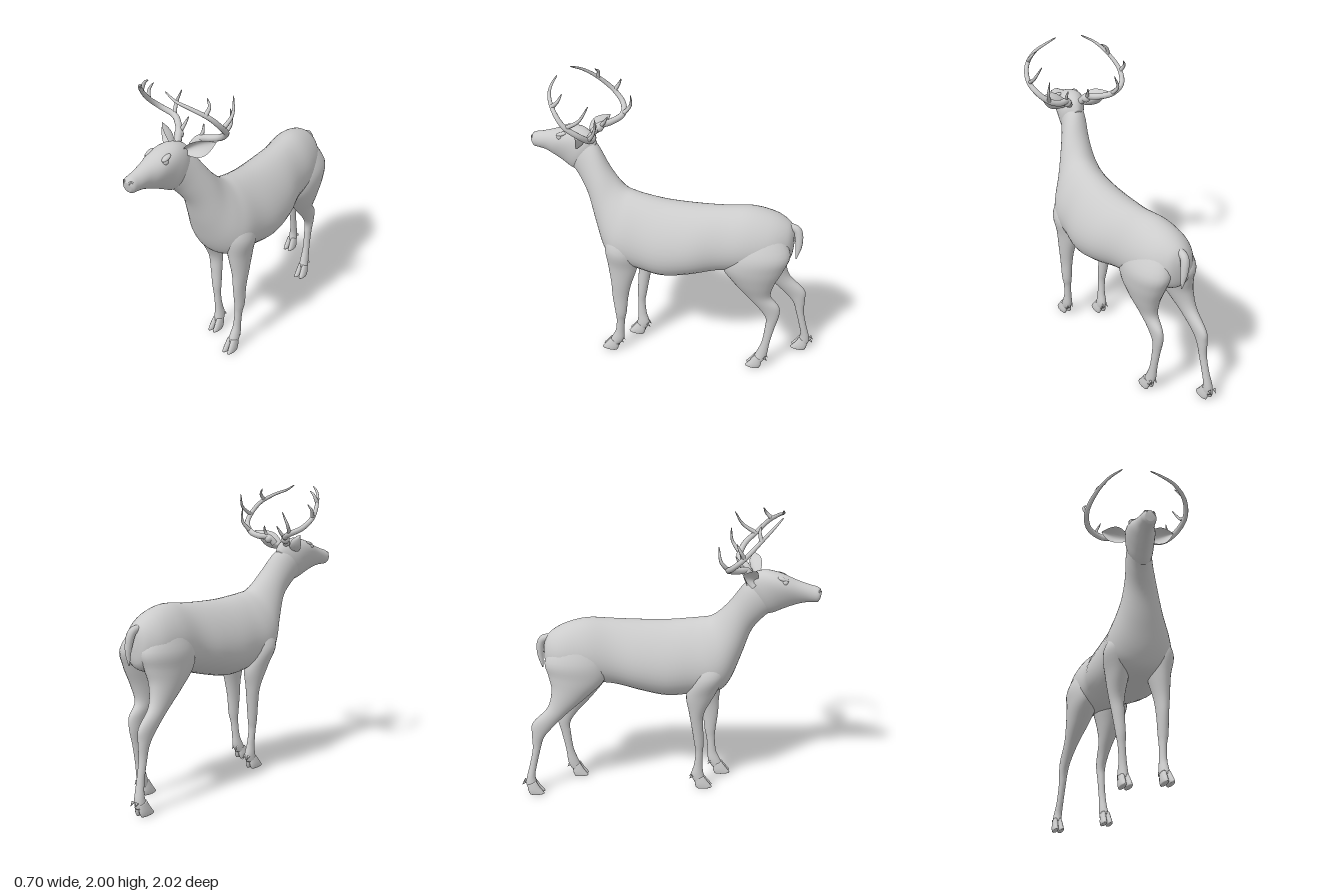
import * as THREE from 'three';

const material = new THREE.MeshStandardMaterial({ color: 0xcccccc, roughness: 0.8 });
const thinMaterial = new THREE.MeshStandardMaterial({ color: 0xcccccc, roughness: 0.8, side: THREE.DoubleSide });

function addMesh(parent, name, geometry, mat = material) {
  const mesh = new THREE.Mesh(geometry, mat);
  mesh.name = name;
  parent.add(mesh);
  return mesh;
}

const spline = (a, b, c, d, t) =>
  0.5 * (2 * b + (c - a) * t + (2 * a - 5 * b + 4 * c - d) * t * t + (3 * b - a - 3 * c + d) * t * t * t);

// Smooth skin over oval sections. Row: [z1, y1, z2, y2, centreX, halfWidth, bias],
// point 1 is the top (or front) of the oval, point 2 the bottom (or back).
// A positive bias moves the widest place towards point 2.
function loft(rows, sides = 28, steps = 5) {
  const rings = [];
  const row = (i) => rows[Math.min(Math.max(i, 0), rows.length - 1)];
  for (let i = 0; i < rows.length - 1; i++)
    for (let s = 0; s < steps; s++)
      rings.push([0, 1, 2, 3, 4, 5, 6].map((k) =>
        spline(...[-1, 0, 1, 2].map((o) => row(i + o)[k] ?? 0), s / steps)));
  rings.push(row(rows.length));
  const pos = [], index = [];
  for (const [z1, y1, z2, y2, cx, hw, bias = 0] of rings)
    for (let j = 0; j < sides; j++) {
      const a = (j / sides) * Math.PI * 2, c = Math.cos(a);
      pos.push(cx + hw * Math.sin(a) * (1 - bias * c),
        (y1 + y2) / 2 + (c * (y1 - y2)) / 2, (z1 + z2) / 2 + (c * (z1 - z2)) / 2);
    }
  for (let i = 0; i < rings.length - 1; i++)
    for (let j = 0; j < sides; j++) {
      const a = i * sides + j, b = i * sides + (j + 1) % sides;
      index.push(a, a + sides, b, b, a + sides, b + sides);
    }
  // End caps
  const last = (rings.length - 1) * sides, n = rings.length * sides;
  for (const [z1, y1, z2, y2, cx] of [rings[0], rings[rings.length - 1]])
    pos.push(cx, (y1 + y2) / 2, (z1 + z2) / 2);
  for (let j = 0; j < sides; j++) {
    const k = (j + 1) % sides;
    index.push(n, j, k, n + 1, last + k, last + j);
  }
  const g = new THREE.BufferGeometry();
  g.setAttribute('position', new THREE.Float32BufferAttribute(pos, 3));
  g.setIndex(index);
  g.computeVertexNormals();
  return g;
}

// Tube whose radius follows a rule
function taperedTube(points, radius, segments = 28, sides = 10) {
  const curve = new THREE.CatmullRomCurve3(points.map((p) => new THREE.Vector3(...p)));
  const g = new THREE.TubeGeometry(curve, segments, 1, sides);
  const p = g.attributes.position, v = new THREE.Vector3();
  for (let i = 0; i < p.count; i++) {
    const t = Math.floor(i / (sides + 1)) / segments, c = curve.getPointAt(t);
    v.fromBufferAttribute(p, i).sub(c).multiplyScalar(radius(t)).add(c);
    p.setXYZ(i, v.x, v.y, v.z);
  }
  return g;
}

const BODY = [
  [-0.835, 1.09, -0.84, 1.0, 0.03, 0.03], [-0.8, 1.15, -0.82, 0.88, 0.035, 0.1],
  [-0.7, 1.21, -0.72, 0.83, 0.045, 0.165, 0.1], [-0.55, 1.245, -0.55, 0.8, 0.065, 0.19, 0.15],
  [-0.38, 1.235, -0.36, 0.775, 0.085, 0.19, 0.18], [-0.2, 1.225, -0.18, 0.73, 0.095, 0.222, 0.22],
  [0, 1.225, 0, 0.695, 0.097, 0.232, 0.24], [0.15, 1.24, 0.18, 0.71, 0.09, 0.215, 0.24],
  [0.22, 1.25, 0.35, 0.735, 0.082, 0.21, 0.24], [0.29, 1.265, 0.43, 0.82, 0.07, 0.185, 0.2],
  [0.35, 1.31, 0.5, 1.0, 0.052, 0.14, 0.12], [0.42, 1.39, 0.56, 1.18, 0.03, 0.108],
  [0.5, 1.51, 0.63, 1.285, -0.005, 0.09], [0.57, 1.57, 0.68, 1.335, -0.025, 0.08],
];

const HEAD = [
  [0.51, 1.53, 0.6, 1.33, -0.015, 0.05], [0.55, 1.59, 0.68, 1.325, -0.025, 0.085, -0.05],
  [0.63, 1.62, 0.76, 1.362, -0.042, 0.093, -0.2], [0.73, 1.605, 0.83, 1.392, -0.055, 0.083, -0.25],
  [0.83, 1.565, 0.89, 1.412, -0.068, 0.06, -0.15], [0.92, 1.535, 0.945, 1.418, -0.078, 0.05],
  [0.975, 1.52, 0.972, 1.42, -0.082, 0.046], [0.997, 1.495, 0.985, 1.435, -0.083, 0.03],
];

const LEGS = {
  leftForeleg: [
    [0.36, 1.04, 0.2, 1.04, 0.19, 0.06], [0.4, 0.9, 0.17, 0.88, 0.213, 0.098],
    [0.385, 0.75, 0.18, 0.75, 0.215, 0.073], [0.365, 0.6, 0.225, 0.6, 0.225, 0.05],
    [0.36, 0.48, 0.25, 0.48, 0.225, 0.038], [0.345, 0.35, 0.265, 0.35, 0.225, 0.033],
    [0.34, 0.28, 0.28, 0.28, 0.22, 0.025], [0.35, 0.18, 0.29, 0.18, 0.215, 0.025],
    [0.375, 0.12, 0.295, 0.1, 0.212, 0.032], [0.4, 0.07, 0.325, 0.05, 0.21, 0.034]],
  rightForeleg: [
    [0.36, 1.04, 0.2, 1.04, -0.015, 0.06], [0.39, 0.9, 0.17, 0.88, -0.055, 0.098],
    [0.33, 0.75, 0.13, 0.73, -0.05, 0.073], [0.255, 0.6, 0.15, 0.6, -0.045, 0.05],
    [0.25, 0.48, 0.17, 0.48, -0.035, 0.04], [0.255, 0.36, 0.19, 0.35, -0.025, 0.032],
    [0.25, 0.28, 0.2, 0.28, -0.02, 0.025], [0.25, 0.18, 0.19, 0.18, -0.013, 0.025],
    [0.255, 0.12, 0.17, 0.1, -0.01, 0.032], [0.265, 0.07, 0.19, 0.05, -0.01, 0.034]],
  leftHindLeg: [
    [-0.47, 1.14, -0.74, 1.14, 0.1, 0.07], [-0.41, 0.98, -0.83, 0.98, 0.14, 0.122],
    [-0.38, 0.85, -0.8, 0.86, 0.155, 0.115], [-0.46, 0.73, -0.745, 0.73, 0.155, 0.085],
    [-0.56, 0.61, -0.725, 0.62, 0.145, 0.052], [-0.65, 0.51, -0.785, 0.54, 0.14, 0.037],
    [-0.7, 0.43, -0.79, 0.46, 0.135, 0.031], [-0.7, 0.35, -0.765, 0.35, 0.135, 0.025],
    [-0.685, 0.22, -0.74, 0.22, 0.138, 0.024], [-0.655, 0.13, -0.725, 0.1, 0.14, 0.03],
    [-0.635, 0.08, -0.7, 0.05, 0.145, 0.034]],
  rightHindLeg: [
    [-0.47, 1.14, -0.74, 1.14, -0.01, 0.07], [-0.41, 0.98, -0.83, 0.98, -0.035, 0.115],
    [-0.42, 0.85, -0.81, 0.87, -0.047, 0.105], [-0.55, 0.72, -0.79, 0.77, -0.065, 0.08],
    [-0.69, 0.6, -0.82, 0.645, -0.085, 0.05], [-0.8, 0.49, -0.925, 0.535, -0.1, 0.036],
    [-0.855, 0.42, -0.935, 0.45, -0.105, 0.031], [-0.88, 0.34, -0.935, 0.34, -0.108, 0.025],
    [-0.91, 0.22, -0.96, 0.22, -0.115, 0.024], [-0.925, 0.14, -0.99, 0.1, -0.125, 0.03],
    [-0.915, 0.08, -0.985, 0.05, -0.13, 0.034]],
};

// Each antler: the main beam first, then its tines
const ANTLERS = {
  leftAntler: [
    [[0.04, 1.58, 0.54], [0.07, 1.625, 0.51], [0.14, 1.635, 0.48], [0.21, 1.66, 0.48], [0.28, 1.72, 0.52],
      [0.31, 1.79, 0.6], [0.28, 1.87, 0.67], [0.19, 1.93, 0.73], [0.1, 1.96, 0.75], [0.02, 1.995, 0.74]],
    [[0.07, 1.625, 0.51], [0.085, 1.66, 0.49], [0.08, 1.71, 0.47]],
    [[0.22, 1.665, 0.48], [0.25, 1.74, 0.43], [0.24, 1.83, 0.42]],
    [[0.305, 1.78, 0.59], [0.31, 1.84, 0.5], [0.28, 1.93, 0.445]],
    [[0.26, 1.89, 0.69], [0.26, 1.93, 0.65], [0.23, 1.97, 0.63]]],
  rightAntler: [
    [[-0.06, 1.58, 0.55], [-0.08, 1.625, 0.51], [-0.13, 1.635, 0.45], [-0.21, 1.66, 0.39], [-0.3, 1.7, 0.41],
      [-0.335, 1.77, 0.48], [-0.3, 1.87, 0.58], [-0.24, 1.94, 0.66], [-0.165, 1.985, 0.72]],
    [[-0.08, 1.625, 0.5], [-0.07, 1.66, 0.47], [-0.055, 1.71, 0.44]],
    [[-0.21, 1.66, 0.39], [-0.23, 1.72, 0.34], [-0.195, 1.81, 0.325]],
    [[-0.335, 1.77, 0.48], [-0.35, 1.82, 0.45], [-0.33, 1.86, 0.43]],
    [[-0.3, 1.87, 0.58], [-0.28, 1.92, 0.57], [-0.24, 1.95, 0.58]]],
};

// Cupped leaf from root to tip, open to the front
function ear(root, tip, facing) {
  const g = new THREE.PlaneGeometry(1, 1, 10, 14), p = g.attributes.position;
  const base = new THREE.Vector3(...root), dir = new THREE.Vector3(...tip).sub(base);
  const side = dir.clone().cross(new THREE.Vector3(...facing)).normalize();
  const front = side.clone().cross(dir).normalize();
  for (let i = 0; i < p.count; i++) {
    const u = p.getX(i), t = p.getY(i) + 0.5, w = 0.11 * Math.sin(Math.PI * (0.14 + 0.86 * t));
    const v = base.clone().addScaledVector(dir, t).addScaledVector(side, u * w)
      .addScaledVector(front, w * (2.2 * u * u - 0.3));
    p.setXYZ(i, v.x, v.y, v.z);
  }
  g.computeVertexNormals();
  return g;
}

export function createModel() {
  const deer = new THREE.Group();
  deer.name = 'deer';
  addMesh(deer, 'bodyAndNeck', loft(BODY, 40));
  addMesh(deer, 'head', loft(HEAD, 32));

  // Legs, each with a cloven hoof and two dewclaws
  for (const [name, rows] of Object.entries(LEGS)) {
    const leg = new THREE.Group();
    leg.name = name;
    deer.add(leg);
    addMesh(leg, 'limb', loft(rows));
    const [fz, fy, bz, by, cx] = rows[rows.length - 1];
    for (const s of [-1, 1]) {
      addMesh(leg, 'hoofToe', loft([
        [fz - 0.005, fy + 0.02, bz + 0.005, by + 0.025, cx + s * 0.015, 0.018],
        [fz + 0.025, 0.05, bz + 0.008, 0.03, cx + s * 0.018, 0.022],
        [fz + 0.052, 0.014, bz + 0.018, 0.003, cx + s * 0.02, 0.02],
        [fz + 0.045, 0.004, bz + 0.025, 0, cx + s * 0.02, 0.015]], 14));
      const claw = addMesh(leg, 'dewclaw', new THREE.ConeGeometry(0.01, 0.035, 8));
      claw.position.set(cx + s * 0.018, by + 0.035, bz - 0.022);
      claw.rotation.x = -2.4;
    }
  }

  // Tail
  addMesh(deer, 'tail', taperedTube(
    [[0.03, 1.12, -0.8], [0.032, 1.1, -0.85], [0.045, 1.0, -0.872], [0.052, 0.89, -0.862]],
    (t) => 0.004 + 0.024 * Math.sin(Math.PI * (0.3 + 0.7 * t))));

  // Antlers
  for (const [name, [beam, ...tines]] of Object.entries(ANTLERS)) {
    const antler = new THREE.Group();
    antler.name = name;
    deer.add(antler);
    addMesh(antler, 'beam', taperedTube(beam, (t) => 0.003 + 0.021 * Math.pow(1 - t, 0.6), 60));
    for (const tine of tines)
      addMesh(antler, 'tine', taperedTube(tine, (t) => 0.002 + 0.013 * Math.pow(1 - t, 0.7), 16, 8));
    const burr = addMesh(antler, 'burr', new THREE.SphereGeometry(0.03, 14, 10));
    burr.position.set(...beam[1]).y -= 0.012;
  }

  // Ears
  addMesh(deer, 'leftEar', ear([0.035, 1.565, 0.59], [0.24, 1.67, 0.56], [0.25, -0.2, 1]), thinMaterial);
  addMesh(deer, 'rightEar', ear([-0.09, 1.555, 0.57], [-0.235, 1.64, 0.48], [-0.4, -0.2, 1]), thinMaterial);

  // Eyes, brows and nostrils
  for (const s of [-1, 1]) {
    const eye = addMesh(deer, 'eye', new THREE.SphereGeometry(0.02, 14, 10));
    eye.position.set(-0.054 + s * 0.066, 1.557, 0.757);
    const brow = addMesh(deer, 'brow', new THREE.SphereGeometry(1, 14, 10));
    brow.scale.set(0.02, 0.013, 0.038);
    brow.position.set(-0.052 + s * 0.062, 1.577, 0.745);
    brow.rotation.x = 0.3;
    const nostril = addMesh(deer, 'nostril', new THREE.TorusGeometry(0.011, 0.005, 8, 14));
    nostril.position.set(-0.083 + s * 0.026, 1.492, 0.985);
    nostril.rotation.y = s * 0.7;
  }
  return deer;
}
